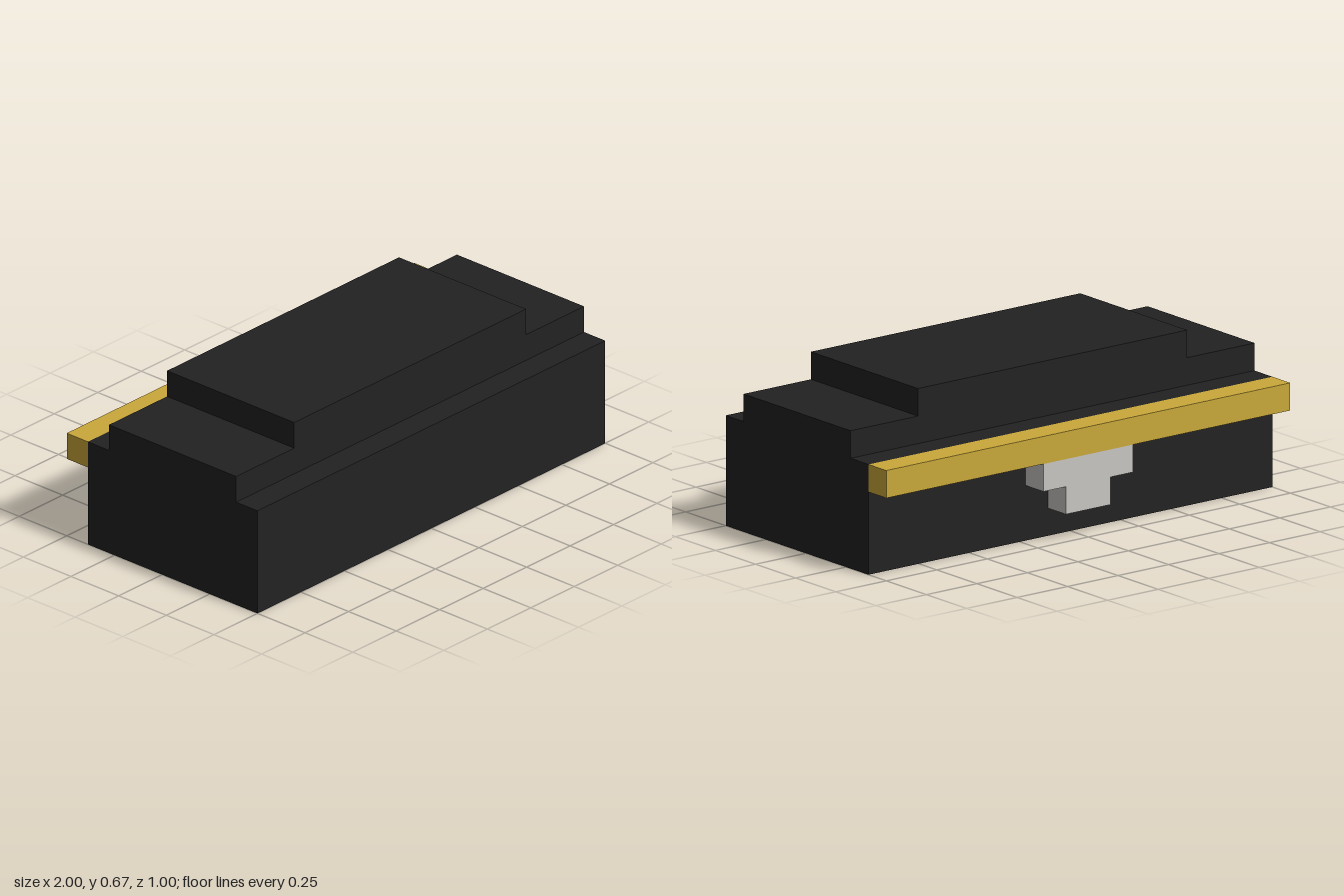
import * as THREE from 'three';

// All sizes sit on a grid of one ninth of a unit.
const U = 1 / 9;

function flat(name, color) {
  const material = new THREE.MeshStandardMaterial({ color });
  material.name = name;
  return material;
}

export function createModel() {
  const black = flat('black', 0x222222);
  const gold = flat('gold', 0xc9a83a);
  const silver = flat('light grey', 0xc8c6c2);

  const model = new THREE.Group();
  model.name = 'steppedBlock';

  // Box centred on x, given its width and its y and z ranges in grid units
  function block(name, material, width, [y0, y1], [z0, z1]) {
    const geometry = new THREE.BoxGeometry(width * U, (y1 - y0) * U, (z1 - z0) * U);
    const mesh = new THREE.Mesh(geometry, material);
    mesh.name = name;
    mesh.position.set(0, ((y0 + y1) / 2) * U, ((z0 + z1) / 2) * U);
    model.add(mesh);
  }

  // Stepped body
  block('base', black, 18, [0, 4], [-3.5, 4.5]);
  block('middleStep', black, 18, [4, 5], [-2.5, 3.5]);
  block('topStep', black, 12, [5, 6], [-2.5, 3.5]);

  // Band across the back, with the clasp under it
  block('band', gold, 18, [3, 4], [-4.5, -3.5]);
  block('claspUpper', silver, 4, [2, 3], [-4.5, -3.5]);
  block('claspLower', silver, 2, [1, 2], [-4.5, -3.5]);

  return model;
}
